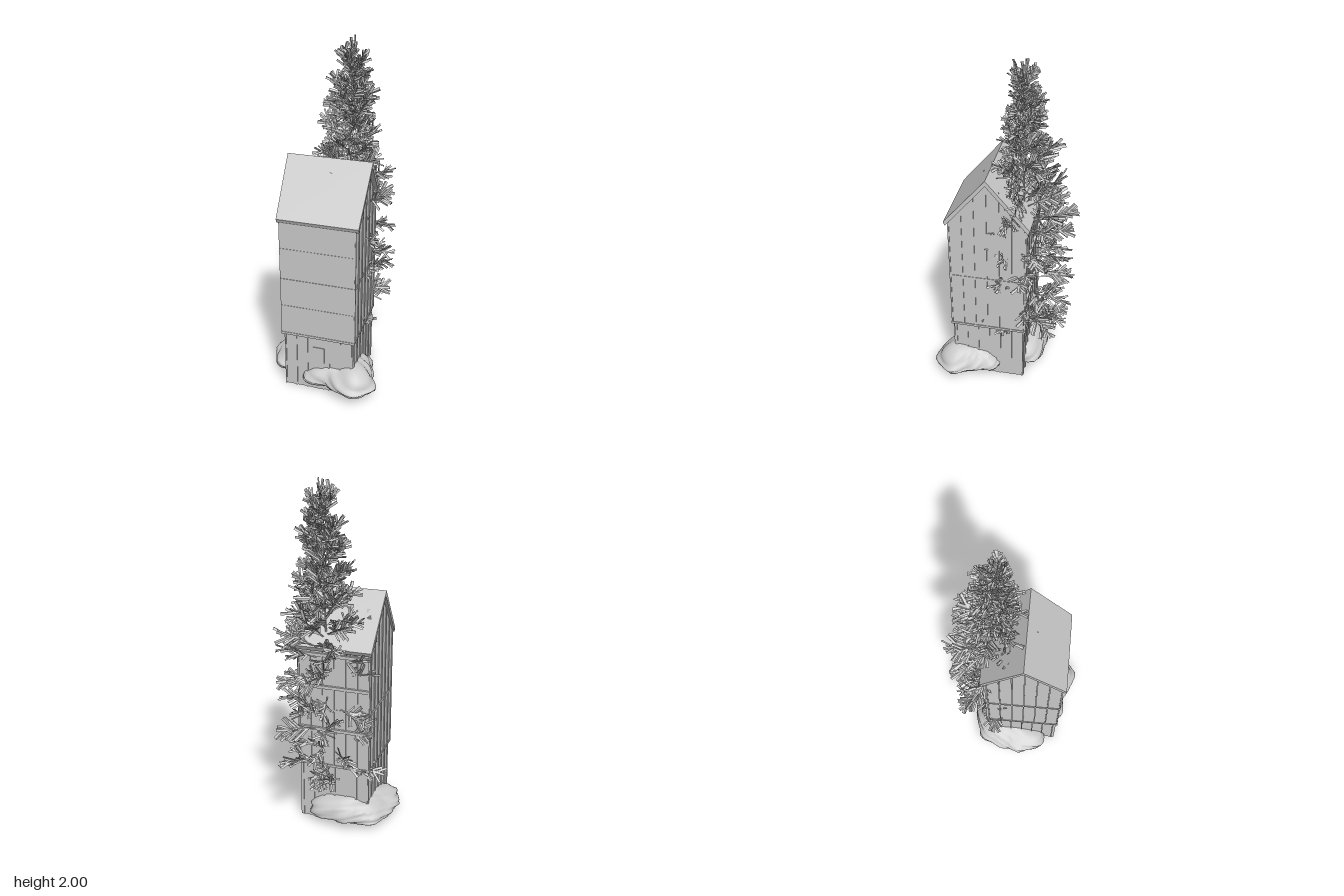
import * as THREE from 'three';
import { mergeVertices } from 'three/addons/utils/BufferGeometryUtils.js';

const V = (x, y, z) => new THREE.Vector3(x, y, z);
const grey = (opts = {}) => new THREE.MeshStandardMaterial({ color: 0xcccccc, roughness: 0.9, ...opts });

let seed = 7;
const rnd = () => {
  seed = (seed * 16807) % 2147483647;
  return seed / 2147483647;
};
const jitter = (a) => (rnd() * 2 - 1) * a;

function add(parent, name, geometry, material) {
  const mesh = new THREE.Mesh(geometry, material);
  mesh.name = name;
  parent.add(mesh);
}

// Box given by its min and max corners
function block(parent, name, x0, x1, y0, y1, z0, z1, material) {
  const g = new THREE.BoxGeometry(x1 - x0, y1 - y0, z1 - z0);
  add(parent, name, g.translate((x0 + x1) / 2, (y0 + y1) / 2, (z0 + z1) / 2), material);
}

// Profile of [z, y] points extruded along x
function alongX(points, x0, x1) {
  const shape = new THREE.Shape(points.map(([z, y]) => new THREE.Vector2(-z, y)));
  const g = new THREE.ExtrudeGeometry(shape, { depth: x1 - x0, bevelEnabled: false });
  return g.rotateY(Math.PI / 2).translate(x0, 0, 0);
}

const RIDGE = 0.095;
const slopeY = (z) => 1.345 - Math.abs(z - RIDGE) * 1.22;

function buildHouse() {
  const house = new THREE.Group();
  house.name = 'house';
  const mat = grey({ flatShading: true });

  block(house, 'groundFloor', -0.208, 0.2, 0, 0.36, -0.11, 0.305, mat);
  add(house, 'upperWalls', alongX(
    [[0.318, 0.36], [-0.12, 0.36], [-0.12, slopeY(-0.12)], [RIDGE, 1.345], [0.318, slopeY(0.318)]],
    -0.218, 0.208), mat);

  // Folded roof, slightly wider at the ridge than at the eaves
  const roof = alongX([[0.335, 1.085], [0.325, 1.062], [RIDGE, 1.342], [-0.135, 1.062],
    [-0.147, 1.085], [RIDGE, 1.375]], -0.23, 0.23);
  const p = roof.attributes.position;
  for (let i = 0; i < p.count; i++) p.setX(i, p.getX(i) * (1 + 0.045 * Math.max(0, (p.getY(i) - 1.08) / 0.29)));
  roof.computeVertexNormals();
  add(house, 'roof', roof, mat);

  block(house, 'door', -0.037, 0.03, 0, 0.285, 0.3, 0.309, mat);

  // Ledges round the house
  block(house, 'floorLedge', -0.222, 0.212, 0.352, 0.366, -0.126, 0.321, mat);
  block(house, 'middleLedge', -0.221, 0.211, 0.7, 0.716, -0.123, 0.321, mat);
  for (const y of [0.54, 0.9]) block(house, 'frontSeam', -0.216, 0.206, y, y + 0.004, 0.31, 0.32, mat);
  for (const y of [0.58, 0.84, 1.03]) block(house, 'backBeam', -0.219, 0.209, y, y + 0.018, -0.134, -0.11, mat);

  // Vertical battens on sides, back and ground floor
  for (let i = 0; i <= 6; i++) {
    const z = -0.114 + i * 0.0705, zl = -0.106 + i * 0.0665, x = -0.212 + i * 0.069, xl = -0.204 + i * 0.0655;
    const top = Math.min(slopeY(z), slopeY(z + 0.008));
    for (const [upper, lower] of [[0.207, 0.199], [-0.223, -0.213]]) {
      block(house, 'sideBatten', upper, upper + 0.006, 0.36, top, z, z + 0.008, mat);
      block(house, 'sideBaseBatten', lower, lower + 0.006, 0, 0.355, zl - 0.004, zl + 0.004, mat);
    }
    block(house, 'backBatten', x - 0.004, x + 0.004, 0.36, 1.075, -0.127, -0.118, mat);
    block(house, 'backBaseBatten', xl - 0.004, xl + 0.004, 0, 0.355, -0.116, -0.108, mat);
    if (i !== 3) block(house, 'frontBaseBatten', xl - 0.004, xl + 0.004, 0, 0.355, 0.304, 0.311, mat);
  }
  return house;
}

// Boulder: sphere with a plan outline given by radii every 30 degrees (from +x towards +z)
function boulder(name, cx, cy, cz, radii, up, down, leanX, leanZ, peak) {
  const g = new THREE.IcosahedronGeometry(1, 9);
  g.deleteAttribute('normal');
  g.deleteAttribute('uv');
  const rock = mergeVertices(g, 1e-4);
  const p = rock.attributes.position;
  for (let i = 0; i < p.count; i++) {
    const x = p.getX(i), y = p.getY(i), z = p.getZ(i);
    const a = ((Math.atan2(z, x) / (Math.PI / 6)) + 12) % 12;
    const k = Math.floor(a), f = a - k, s = f * f * (3 - 2 * f);
    const bump = 1 + 0.035 * Math.sin(7 * x + 3 * y) * Math.cos(6 * z + 2 * x) + 0.03 * Math.sin(15 * y + 11 * z + 9 * x);
    const r = (radii[k] * (1 - s) + radii[(k + 1) % 12] * s) * bump;
    const h = y > 0 ? up * y ** peak * (1 + leanX * x + leanZ * z) : -down * Math.abs(y);
    p.setXYZ(i, x * r, h * bump, z * r);
  }
  rock.computeVertexNormals();
  const m = new THREE.Mesh(rock, grey());
  m.name = name;
  m.position.set(cx, cy, cz);
  return m;
}

// Leaflet: narrow strip folded along its middle
function leaflet(out, base, dir, normal, length, width) {
  const side = dir.clone().cross(normal).normalize().multiplyScalar(width / 2);
  const fold = normal.clone().multiplyScalar(-width * 0.35);
  const tip = base.clone().addScaledVector(dir, length);
  const edge = (q, s) => q.clone().addScaledVector(side, s).add(fold);
  for (const s of [-1, 1]) {
    const a = edge(base, s * 0.8), b = edge(tip, s);
    for (const v of [base, a, b, base, b, tip]) out.push(v.x, v.y, v.z);
  }
}

// Frond: spine with leaflets fanning forward on all sides, mostly in one plane
function frond(out, base, dir, normal, length) {
  const side = dir.clone().cross(normal).normalize();
  const width = 0.013 + length * 0.05;
  leaflet(out, base, dir, normal, length, width);
  for (let i = 0; i < 9; i++) {
    const t = 0.05 + i * 0.085;
    const s = i % 2 ? 1 : -1;
    const d = dir.clone().multiplyScalar(0.85).addScaledVector(side, s * (0.6 + jitter(0.25)))
      .addScaledVector(normal, jitter(0.75)).normalize();
    const n = normal.clone().addScaledVector(side, jitter(0.8));
    n.addScaledVector(d, -n.dot(d)).normalize();
    const at = base.clone().addScaledVector(dir, length * t);
    leaflet(out, at, d, n, length * (0.55 - 0.25 * t) * (1 + jitter(0.2)), width);
  }
}

// Tree outline: radius at a given height
const OUTLINE = [[0.2, 0.34], [0.95, 0.335], [1.2, 0.27], [1.4, 0.2], [1.6, 0.13], [1.8, 0.085], [2, 0.03]];
function reach(y) {
  const i = Math.max(1, OUTLINE.findIndex(([h]) => h >= y));
  const [[y0, r0], [y1, r1]] = [OUTLINE[i - 1], OUTLINE[i]];
  return r0 + (r1 - r0) * (y - y0) / (y1 - y0);
}
const trunkAt = (y) => V(0.01 + 0.036 * y, y, -0.08);

function buildTree() {
  const tree = new THREE.Group();
  tree.name = 'tree';
  const path = new THREE.LineCurve3(trunkAt(0.1), trunkAt(1.92));
  add(tree, 'trunk', new THREE.TubeGeometry(path, 1, 0.005, 7), grey());

  // Branches in a rising spiral, closer together towards the top
  const out = [];
  let angle = 0;
  for (let y = 0.27; y < 1.88; y += y < 1 ? 0.021 : 0.004 + 0.034 * reach(y)) {
    angle += 2.4 + jitter(0.3);
    const high = THREE.MathUtils.clamp((y - 0.8) / 1, 0, 1);
    const rise = 0.1 + 0.85 * high + jitter(0.28);
    const dir = V(Math.cos(angle) * Math.cos(rise), Math.sin(rise), Math.sin(angle) * Math.cos(rise));
    const normal = V(0, 1, 0).addScaledVector(dir, -dir.y).normalize().applyAxisAngle(dir, jitter(1.2));
    const r = reach(y) * (dir.z > 0.3 ? 0.85 : 0.98) * (0.9 + jitter(0.12));
    const start = trunkAt(y - 0.5 * high * r);
    const len = Math.min(r / Math.cos(rise), 1.97 - start.y);
    const from = y < 1.15 ? 0.42 : 0.25;
    leaflet(out, start, dir, normal, len * 0.6, 0.01);
    frond(out, start.clone().addScaledVector(dir, len * from), dir, normal, len * (1 - from));
    // Smaller frond branching off
    const d2 = dir.clone().add(V(jitter(0.7), 0.25 + jitter(0.5), jitter(0.7))).normalize();
    const n2 = normal.clone().addScaledVector(d2, -normal.dot(d2)).normalize();
    frond(out, start.clone().addScaledVector(dir, len * 0.4), d2, n2, Math.min(len * 0.45, 0.13));
  }
  // Pointed tip
  for (let i = 0; i < 4; i++) {
    const a = i * 1.57;
    leaflet(out, trunkAt(1.86 + 0.01 * i), V(Math.cos(a) * 0.15, 1, Math.sin(a) * 0.15).normalize(),
      V(Math.sin(a), 0, -Math.cos(a)), 0.11, 0.015);
  }
  const foliage = new THREE.BufferGeometry();
  foliage.setAttribute('position', new THREE.Float32BufferAttribute(out, 3));
  foliage.computeVertexNormals();
  add(tree, 'foliage', foliage, grey({ flatShading: true, side: THREE.DoubleSide }));
  return tree;
}

export function createModel() {
  const model = new THREE.Group();
  model.name = 'houseWithTree';
  model.add(buildHouse(), buildTree());
  model.add(boulder('frontBoulder', 0.14, 0.072, 0.21,
    [0.155, 0.22, 0.23, 0.19, 0.17, 0.26, 0.24, 0.18, 0.18, 0.19, 0.19, 0.15], 0.118, 0.045, 0.05, 0.15, 1.4));
  model.add(boulder('backBoulder', -0.15, 0.06, 0,
    [0.26, 0.18, 0.2, 0.24, 0.27, 0.22, 0.175, 0.175, 0.2, 0.2, 0.24, 0.32], 0.11, 0.05, 0.35, -0.15, 1.0));
  return model;
}
